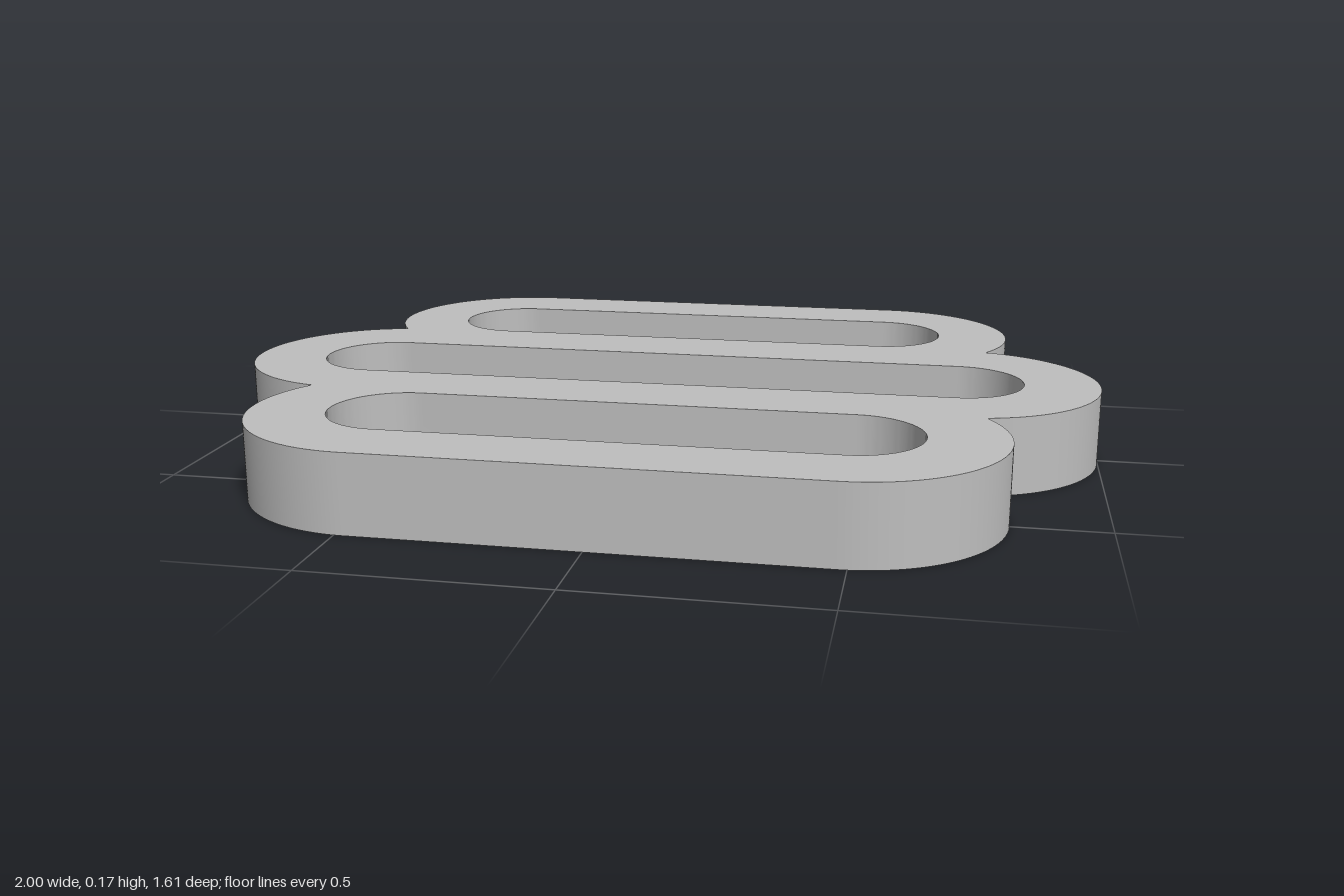
import * as THREE from 'three';
import { toCreasedNormals } from 'three/addons/utils/BufferGeometryUtils.js';

const HEIGHT = 0.17;
const OUTER_R = 0.319, SLOT_R = 0.15;
const MID_X = 0.681, END_X = 0.479, END_Z = 0.485; // arc centres of the middle and end loops

// Rounded slot, centred on x = 0
function slot(cx, cy) {
  const path = new THREE.Path();
  path.absarc(cx, cy, SLOT_R, -Math.PI / 2, Math.PI / 2, false);
  path.absarc(-cx, cy, SLOT_R, Math.PI / 2, Math.PI * 1.5, false);
  path.closePath();
  return path;
}

// Outline of three merged loops, meeting in sharp notches
function outline() {
  const dx = END_X - MID_X;
  const d = Math.hypot(dx, END_Z);
  const h = Math.sqrt(OUTER_R ** 2 - (d / 2) ** 2);
  const nx = (MID_X + END_X) / 2 + (h * END_Z) / d;
  const ny = END_Z / 2 - (h * dx) / d;
  const mid = Math.atan2(ny, nx - MID_X);          // notch angle seen from the middle arc
  const end = Math.atan2(END_Z - ny, nx - END_X);  // notch angle seen from the end arc

  const shape = new THREE.Shape();
  for (const [side, turn] of [[1, 0], [-1, Math.PI]]) {
    const arc = (x, y, a, b) =>
      shape.absarc(side * x, side * y, OUTER_R, a + turn, b + turn, false);
    arc(END_X, -END_Z, -Math.PI / 2, end);
    arc(MID_X, 0, -mid, mid);
    arc(END_X, END_Z, -end, Math.PI / 2);
  }
  shape.closePath();
  return shape;
}

export function createModel() {
  const group = new THREE.Group();
  group.name = 'strapSlider';
  const grey = new THREE.MeshStandardMaterial({ color: 0xbfbfbf });
  grey.name = 'grey';

  // Flat plate with three strap slots
  const shape = outline();
  shape.holes.push(slot(END_X, -END_Z), slot(MID_X, 0), slot(END_X, END_Z));
  const plate = new THREE.ExtrudeGeometry(shape, {
    depth: HEIGHT, bevelEnabled: false, curveSegments: 32,
  });
  plate.rotateX(-Math.PI / 2);

  const mesh = new THREE.Mesh(toCreasedNormals(plate, 0.5), grey);
  mesh.name = 'slottedPlate';
  group.add(mesh);
  return group;
}
